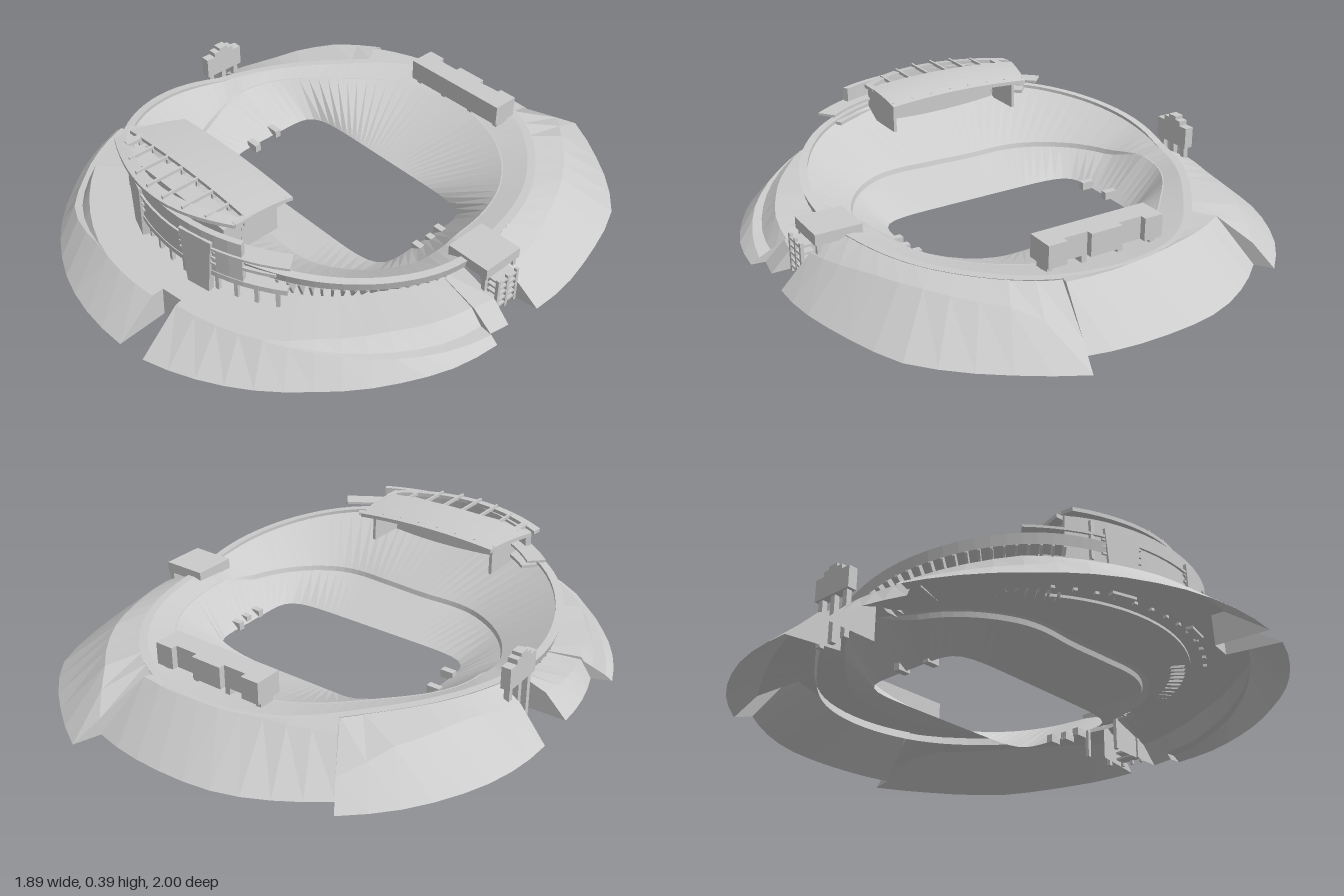
import * as THREE from 'three';

const TILT = 14 * Math.PI / 180; // the pitch is turned relative to the front
const rad = d => d * Math.PI / 180;
const lerp = THREE.MathUtils.lerp, clamp = THREE.MathUtils.clamp;
const mat = new THREE.MeshStandardMaterial({ color: 0xcccccc, flatShading: true, side: THREE.DoubleSide });

// Point at angle a (degrees, 0 = +x, 90 = front), radius r, height y
const polar = (a, r, y) => [r * Math.cos(rad(a)), y, r * Math.sin(rad(a))];

// Smooth periodic curve through values spaced 30 degrees apart
function ringCurve(vals) {
  return a => {
    const t = (((a % 360) + 360) % 360) / 30, i = Math.floor(t), f = t - i;
    const [p, q, r, s] = [-1, 0, 1, 2].map(k => vals[(i + k + 12) % 12]);
    return q + 0.5 * f * (r - p + f * (2 * p - 5 * q + 4 * r - s + f * (3 * (q - r) + s - p)));
  };
}
const rimR = ringCurve([.68, .695, .70, .685, .70, .745, .75, .70, .70, .79, .80, .74]);
const deckR = ringCurve([.57, .53, .465, .365, .36, .47, .57, .62, .60, .65, .66, .63]);
const depth = (a, r) => r * Math.sin(rad(a) - TILT); // distance to the front in the pitch's frame
const rimH = a => Math.max(.155, .165 + .175 * depth(a, rimR(a)));
const frontness = a => clamp((depth(a, .7) + .1) / .2, 0, 1);

// Skin over a row of cross-sections; caps are fans over the end sections
function loft(sections, capped = false) {
  const pos = [];
  for (let i = 0; i + 1 < sections.length; i++) {
    const A = sections[i], B = sections[i + 1];
    for (let j = 0; j + 1 < A.length; j++) pos.push(...A[j], ...B[j], ...B[j + 1], ...A[j], ...B[j + 1], ...A[j + 1]);
  }
  if (capped) for (const s of [sections[0], sections.at(-1)])
    for (let j = 1; j + 1 < s.length; j++) pos.push(...s[0], ...s[j], ...s[j + 1]);
  const g = new THREE.BufferGeometry();
  g.setAttribute('position', new THREE.Float32BufferAttribute(pos, 3));
  g.computeVertexNormals();
  return g;
}
function sweep(a0, a1, step, profile, capped) {
  const n = Math.ceil((a1 - a0) / step);
  return loft(Array.from({ length: n + 1 }, (_, i) => profile(lerp(a0, a1, i / n))), capped);
}
function add(parent, name, geo) {
  const m = new THREE.Mesh(geo, mat);
  m.name = name;
  parent.add(m);
  return m;
}
function box(parent, name, w, h, d, x, y, z) {
  const m = add(parent, name, new THREE.BoxGeometry(w, h, d));
  m.position.set(x, y, z);
  return m;
}
// Curved slab between two radii and two heights
const arcSlab = (parent, name, a0, a1, r0, r1, y0, y1) => add(parent, name, sweep(a0, a1, 4, a =>
  [[r0, y0], [r1, y0], [r1, y1], [r0, y1], [r0, y0]].map(([r, y]) => polar(a, r, y)), true));

// Earth bank profile from rows of [angle, foot radius, crest radius, crest height,
// and where a path runs along it: path inner radius, upper crest radius, upper height]
const bankProfile = rows => a => {
  let i = 0;
  while (i < rows.length - 2 && a > rows[i + 1][0]) i++;
  const t = (a - rows[i][0]) / (rows[i + 1][0] - rows[i][0]);
  const full = ([, foot, crest, h, r2 = crest, r3 = crest, h2 = h]) => [foot, crest, h, r2, r3, h2];
  const A = full(rows[i]), B = full(rows[i + 1]);
  const [foot, crest, h, r2, r3, h2] = A.map((v, k) => lerp(v, B[k], t)), f = frontness(a);
  return [polar(a, foot, 0), polar(a, crest, h), polar(a, r2, h), polar(a, r3, h2),
    polar(a, rimR(a) - .1 * f, lerp(rimH(a), Math.max(h2, .09), f)),
    polar(a, lerp(rimR(a), deckR(a) + .03, f), lerp(rimH(a), .1, f))];
};
const banks = [
  ['leftRamp', [[14, .88, .81, .07], [20, .87, .8, .07]]],
  ['frontLeftBank', [[20, .92, .89, .02, .84, .79, .065], [30, .93, .885, .03, .85, .8, .085], [42, .93, .88, .055, .85, .8, .1],
    [60, .94, .86, .09, .85, .82, .11], [70, .96, .85, .11], [93, 1, .83, .11]]],
  ['frontNotch', [[93, .81, .805, .11], [99, .81, .805, .11]]],
  ['frontRightBank', [[99, 1, .85, .11], [120, 1, .87, .11], [137, .985, .93, .07, .9, .87, .11],
    [150, .965, .92, .05, .9, .87, .11], [173, .955, .93, .02, .88, .84, .08]]],
  ['rightRamp', [[173, .88, .84, .07], [193, .88, .8, .08]]],
  ['backRightBank', [[204, .91, .8, .11], [219, .96, .79, .13], [227, .98, .82, .135], [239, 1.01, .87, .13], [250, 1.03, .95, .08]]],
  ['backBank', [[250, .96, .82, .155], [270, 1, .8, .16], [285, 1, .81, .16], [301, 1.01, .84, .16]]],
  ['backLeftBank', [[301, 1.11, 1.01, .06], [311, 1.08, .92, .13], [330, 1.05, .85, .14], [345, .97, .8, .13], [366, .905, .79, .1]]],
];

export function createModel() {
  const model = new THREE.Group();
  model.name = 'stadium';

  // Earth banks; neighbours are joined by a step, gates get an upright end
  banks.forEach(([name, rows], i) => {
    const profile = bankProfile(rows), a0 = rows[0][0], a1 = rows.at(-1)[0];
    add(model, name, sweep(a0, a1, 6, profile));
    const next = banks[(i + 1) % banks.length][1], prev = banks.at(i - 1)[1];
    if (next[0][0] === a1) add(model, 'bankStep', loft([profile(a1), bankProfile(next)(a1)]));
    else add(model, 'bankEnd', loft([profile(a1), profile(a1).map(p => [p[0], 0, p[2]])]));
    if (prev.at(-1)[0] !== a0) add(model, 'bankEnd', loft([profile(a0), profile(a0).map(p => [p[0], 0, p[2]])]));
  });

  // Seating bowl: pitch opening, lower tier, step, upper tier, rim band
  add(model, 'seatingBowl', sweep(0, 360, 3.75, a => {
    const c = Math.abs(Math.cos(rad(a) - TILT)) / .42, s = Math.abs(Math.sin(rad(a) - TILT)) / .23;
    const open = (c ** 7 + s ** 7) ** (-1 / 7), f = frontness(a), r = rimR(a), h = rimH(a);
    const p = polar(a, open, .01), d = deckR(a), dh = lerp(.135, .085, f);
    p[0] += .01;
    p[2] -= .085;
    return [p, polar(a, d, dh), polar(a, d + .005, dh + .018 * f), polar(a, r - .02, h - .012 * f),
      polar(a, r - .02, h), polar(a, r + .01, h), polar(a, r, h - .035)];
  }));

  // Raked fins carrying the rim
  const fins = new THREE.Group();
  fins.name = 'rimFins';
  model.add(fins);
  for (let a = 22; a <= 190; a += 3) {
    if (a > 72 && a < 138) continue;
    const r = rimR(a), h = rimH(a);
    const s = new THREE.Shape([[r, h - .01], [r, h - .04], [r - .08, .1], [r - .13, .1]].map(p => new THREE.Vector2(...p)));
    const fin = add(fins, 'fin', new THREE.ExtrudeGeometry(s, { depth: .008, bevelEnabled: false }));
    fin.rotation.y = -rad(a);
  }

  // Main stand: curved facade, floors, columns
  const stand = new THREE.Group();
  stand.name = 'mainStand';
  model.add(stand);
  arcSlab(stand, 'facadeWall', 79, 139, .69, .712, .2, .36);
  arcSlab(stand, 'upperFloor', 66, 150, .65, .72, .298, .307);
  arcSlab(stand, 'middleFloor', 70, 145, .65, .71, .25, .262);
  arcSlab(stand, 'lowerFloor', 67, 146, .64, .715, .185, .205);
  arcSlab(stand, 'innerWall', 70, 143, .63, .64, .1, .2);
  for (let a = 70; a <= 142; a += 6) {
    const p = polar(a, .69, .15);
    box(stand, 'column', .014, .1, .014, ...p).rotation.y = -rad(a);
  }
  // Tapered pylons with small ledges
  for (const a of [93, 123]) {
    const g = new THREE.Group();
    g.name = 'pylon';
    g.position.set(...polar(a, .695, 0));
    g.rotation.y = rad(90 - a);
    stand.add(g);
    const s = new THREE.Shape([[-.045, .1], [.045, .1], [.068, .33], [-.068, .33]].map(p => new THREE.Vector2(...p)));
    add(g, 'pylonBody', new THREE.ExtrudeGeometry(s, { depth: .025, bevelEnabled: false }));
    for (const y of [.24, .265, .29]) box(g, 'ledge', .15, .008, .02, 0, y, .01);
  }

  // Parts lined up with the pitch
  const aligned = new THREE.Group();
  aligned.name = 'pitchAlignedParts';
  aligned.rotation.y = -TILT;
  model.add(aligned);
  box(aligned, 'pressBox', .54, .14, .07, -.07, .28, .6);
  for (const u of [-.335, .195]) box(aligned, 'pressBoxEndWall', .012, .12, .15, u, .29, .49);

  // Roof: arched panel, slotted outer strip, ribs
  const roofY = (u, v) => .388 - .022 * ((v - .55) / .19) ** 2 - .02 * ((u + .08) / .34) ** 2;
  const edge = u => .715 - .11 * ((u + .08) / .31) ** 2;
  const roofPart = (name, v0, v1) => {
    const secs = [];
    for (let i = 0; i <= 16; i++) {
      const s = i / 16, top = [], under = [];
      for (let j = 0; j <= 5; j++) {
        const t = j / 5, u0 = lerp(-.36, .225, s), far = lerp(v0(u0), v1(u0), t);
        const u = u0 - .06 * (1 - s) ** 3 * clamp((far - .365) / .2, 0, 1), y = roofY(u, far);
        top.push([u, y, far]);
        under.unshift([u, y - .014, far]);
      }
      secs.push([...top, ...under, top[0]]);
    }
    add(aligned, name, loft(secs, true));
  };
  roofPart('roofPanel', () => .365, () => .56);
  roofPart('roofOuterStrip', u => edge(u) - .045, edge);
  for (let i = 0; i <= 7; i++) {
    const u = lerp(-.36, .215, i / 7), end = edge(u) - .01, wide = i % 7 ? .008 : .025;
    box(aligned, 'roofRib', wide, .012, end - .54, u, roofY(u, .58) - .006, (end + .54) / 2);
    box(aligned, 'roofBeam', .008, .02, .18, u, roofY(u, .46) - .02, .475);
  }

  // Scoreboard on the back bank; local x, z follow the pitch
  const toLocal = (x, z) => [x * Math.cos(TILT) + z * Math.sin(TILT), z * Math.cos(TILT) - x * Math.sin(TILT)];
  const [su, sv] = toLocal(.2, -.645);
  box(aligned, 'scoreboard', .44, .08, .08, su, .21, sv + .01);
  for (const [k, w] of [[-.185, .07], [0, .12], [.185, .07]]) box(aligned, 'scoreboardRearBlock', w, .08, .025, su + k, .21, sv - .04);
  for (const k of [-.2, -.07, .07, .2]) box(aligned, 'scoreboardPost', .02, .03, .06, su + k, .16, sv);

  // Left gatehouse with its stair tower
  const [gu, gv] = toLocal(.69, .1);
  box(aligned, 'gatehouse', .17, .04, .165, gu, .16, gv);
  for (const du of [-.07, .07]) for (const dv of [-.07, .07]) box(aligned, 'gatePost', .015, .14, .015, gu + du, .07, gv + dv);
  for (let i = 0; i < 5; i++) box(aligned, 'gateStairLanding', .05, .008, .09, gu + .095, .02 + i * .026, gv + .01);
  for (const dv of [-.035, .01, .055]) box(aligned, 'gateStairPost', .012, .14, .012, gu + .115, .07, gv + dv);

  // Right gate sign with a stepped top
  const [hu, hv] = toLocal(-.705, -.28);
  box(aligned, 'gateSign', .035, .08, .165, hu, .21, hv);
  box(aligned, 'gateSignCrown', .035, .02, .09, hu, .258, hv);
  box(aligned, 'gateSignPeak', .035, .014, .04, hu, .274, hv);
  for (const dv of [-.06, 0, .06]) box(aligned, 'gateSignPost', .02, .17, .02, hu, .085, hv + dv);

  // Small blocks at the ends of the pitch
  for (const [x, z] of [[.45, -.05], [.45, .01], [.43, .07], [-.41, -.09], [-.4, -.21]]) {
    const [u, v] = toLocal(x, z);
    box(aligned, 'pitchSideBlock', .05, .03, .025, u, .02, v);
  }
  return model;
}
